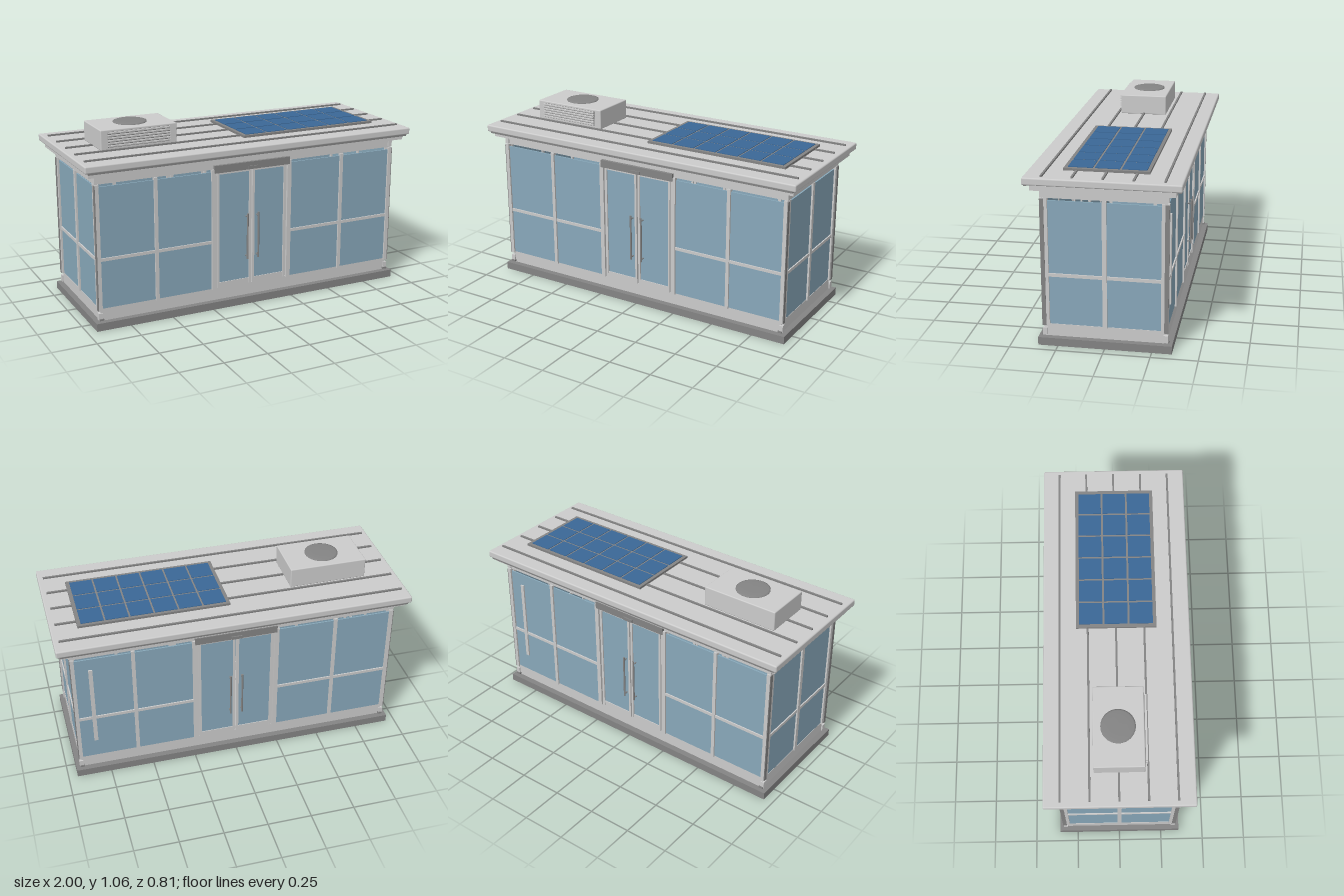
import * as THREE from 'three';
import { RoundedBoxGeometry } from 'three/addons/geometries/RoundedBoxGeometry.js';

const mat = (color) => new THREE.MeshStandardMaterial({ color });
const grey = mat(0xcccccc), dark = mat(0x848484), glass = mat(0x88a8ba), blue = mat(0x3a6796);

function add(parent, name, geometry, material, x = 0, y = 0, z = 0) {
  const mesh = new THREE.Mesh(geometry, material);
  mesh.name = name;
  mesh.position.set(x, y, z);
  parent.add(mesh);
  return mesh;
}

// Box given by its low and high limits on each axis
function box(parent, name, material, [x0, x1], [y0, y1], [z0, z1]) {
  return add(parent, name, new THREE.BoxGeometry(x1 - x0, y1 - y0, z1 - z0), material,
    (x0 + x1) / 2, (y0 + y1) / 2, (z0 + z1) / 2);
}

const around = (c, w) => [c - w / 2, c + w / 2];
const span = (s, a, b) => (s > 0 ? [a, b] : [-b, -a]);

// Glazed long wall with a pair of doors, facing +z
function longWall(name) {
  const wall = new THREE.Group();
  wall.name = name;
  box(wall, 'sill', grey, [-0.915, 0.915], [0.05, 0.115], [0.3, 0.325]);
  box(wall, 'header', grey, [-0.925, 0.925], [0.815, 0.868], [0.3, 0.325]);
  for (const s of [-1, 1]) {
    // Fixed windows
    for (const [a, b] of [[0.25, 0.572], [0.592, 0.905]])
      box(wall, 'windowPane', glass, span(s, a, b), [0.115, 0.8], [0.317, 0.325]);
    box(wall, 'crossBar', grey, span(s, 0.25, 0.905), [0.387, 0.404], [0.315, 0.332]);
    box(wall, 'mullion', grey, around(s * 0.582, 0.02), [0.11, 0.815], [0.313, 0.335]);
    box(wall, 'doorJamb', grey, around(s * 0.237, 0.025), [0.11, 0.815], [0.313, 0.335]);
    box(wall, 'innerJamb', grey, span(s, 0.207, 0.226), [0.11, 0.815], [0.305, 0.322]);
    box(wall, 'cornerPost', grey, span(s, 0.905, 0.926), [0.107, 0.815], [0.313, 0.335]);
    box(wall, 'cornerSeal', dark, span(s, 0.926, 0.93), [0.107, 0.81], [0.313, 0.335]);
    box(wall, 'lowerBracket', grey, span(s, 0.905, 0.928), [0.052, 0.092], [0.308, 0.333]);
    box(wall, 'upperBracket', grey, span(s, 0.905, 0.928), [0.82, 0.862], [0.308, 0.333]);
    box(wall, 'bracketFoot', dark, span(s, 0.9, 0.925), [0.05, 0.06], [0.315, 0.338]);
    // Door leaf with frame
    box(wall, 'doorGlass', glass, span(s, 0.015, 0.208), [0.145, 0.785], [0.317, 0.324]);
    box(wall, 'doorStile', grey, span(s, 0.004, 0.017), [0.115, 0.795], [0.313, 0.331]);
    box(wall, 'doorOuterStile', grey, span(s, 0.203, 0.215), [0.115, 0.795], [0.313, 0.331]);
    box(wall, 'doorBottomRail', grey, span(s, 0.015, 0.21), [0.115, 0.147], [0.313, 0.328]);
    box(wall, 'doorTopRail', grey, span(s, 0.015, 0.21), [0.783, 0.797], [0.313, 0.331]);
    // Pull handle on two stand-offs
    add(wall, 'handle', new THREE.CylinderGeometry(0.0055, 0.0055, 0.27, 12), dark, s * 0.034, 0.405, 0.347);
    for (const y of [0.285, 0.52])
      add(wall, 'handleMount', new THREE.CylinderGeometry(0.004, 0.004, 0.026, 10), dark, s * 0.034, y, 0.335)
        .rotation.x = Math.PI / 2;
  }
  box(wall, 'doorHeader', dark, [-0.235, 0.235], [0.795, 0.838], [0.312, 0.342]);
  box(wall, 'doorSensor', dark, [-0.03, 0.03], [0.797, 0.815], [0.335, 0.348]);
  return wall;
}

// Glazed end wall, facing +x
function endWall(name) {
  const wall = new THREE.Group();
  wall.name = name;
  box(wall, 'sill', grey, [0.895, 0.92], [0.05, 0.115], [-0.308, 0.308]);
  box(wall, 'header', grey, [0.895, 0.925], [0.815, 0.868], [-0.3, 0.3]);
  box(wall, 'crossBar', grey, [0.905, 0.925], [0.384, 0.402], [-0.3, 0.3]);
  box(wall, 'mullion', grey, [0.905, 0.928], [0.11, 0.815], [-0.012, 0.012]);
  for (const s of [-1, 1]) {
    box(wall, 'windowPane', glass, [0.91, 0.918], [0.115, 0.8], span(s, 0.012, 0.297));
    box(wall, 'sidePost', grey, [0.9, 0.928], [0.11, 0.815], span(s, 0.295, 0.313));
  }
  return wall;
}

// Roof-top cooling unit with front louvres and fan cap
function coolingUnit() {
  const unit = new THREE.Group();
  unit.name = 'coolingUnit';
  add(unit, 'housing', new RoundedBoxGeometry(0.445, 0.115, 0.275, 2, 0.006), grey, -0.593, 0.997, 0);
  box(unit, 'grilleBack', dark, [-0.775, -0.413], [0.956, 1.042], [0.136, 0.14]);
  for (let i = 0; i < 6; i++)
    box(unit, 'louvre', grey, [-0.775, -0.413], around(0.965 + i * 0.0145, 0.007), [0.138, 0.151]);
  const fan = [[0, 1.064], [0.05, 1.0635], [0.085, 1.062], [0.094, 1.059], [0.094, 1.053]]
    .reverse().map(([r, y]) => new THREE.Vector2(r, y));
  add(unit, 'fanCap', new THREE.LatheGeometry(fan, 40), dark, -0.593, 0, -0.003);
  return unit;
}

// Framed panel of six by three cells
function solarPanel() {
  const panel = new THREE.Group();
  panel.name = 'solarPanel';
  box(panel, 'panelFrame', dark, [0.005, 0.855], [0.944, 0.957], [-0.225, 0.222]);
  for (let i = 0; i < 6; i++)
    for (let j = 0; j < 3; j++)
      box(panel, 'solarCell', blue, around(0.0885 + i * 0.1365, 0.126), [0.95, 0.96],
        around(-0.142 + j * 0.14, 0.129));
  return panel;
}

export function createModel() {
  const model = new THREE.Group();
  model.name = 'glassKiosk';

  // Plinth and floor
  box(model, 'base', dark, [-0.948, 0.948], [0, 0.044], [-0.356, 0.356]);
  box(model, 'floor', grey, [-0.915, 0.915], [0.044, 0.052], [-0.322, 0.322]);

  // Walls
  const back = longWall('backWall');
  back.rotation.y = Math.PI;
  const left = endWall('leftEndWall'), right = endWall('rightEndWall');
  right.rotation.y = Math.PI;
  model.add(longWall('frontWall'), back, left, right);
  box(model, 'backPole', grey, around(0.82, 0.022), [0.23, 0.73], [-0.334, -0.324]);

  // Stepped roof with seams
  box(model, 'eaveTrim', grey, [-0.973, 0.973], [0.866, 0.893], [-0.373, 0.373]);
  box(model, 'roofCore', grey, [-0.96, 0.96], [0.89, 0.905], [-0.36, 0.36]);
  add(model, 'roofSlab', new RoundedBoxGeometry(2, 0.04, 0.814, 2, 0.008), grey, 0, 0.92, 0);
  for (const s of [-1, 1])
    box(model, 'dripStrip', dark, [-0.98, 0.98], [0.891, 0.902], around(s * 0.393, 0.014));
  for (let i = -2; i <= 2; i++)
    box(model, 'roofSeam', dark, [-0.97, 0.97], [0.935, 0.949], around(i * 0.157 - 0.003, 0.011));

  model.add(coolingUnit(), solarPanel());
  return model;
}
